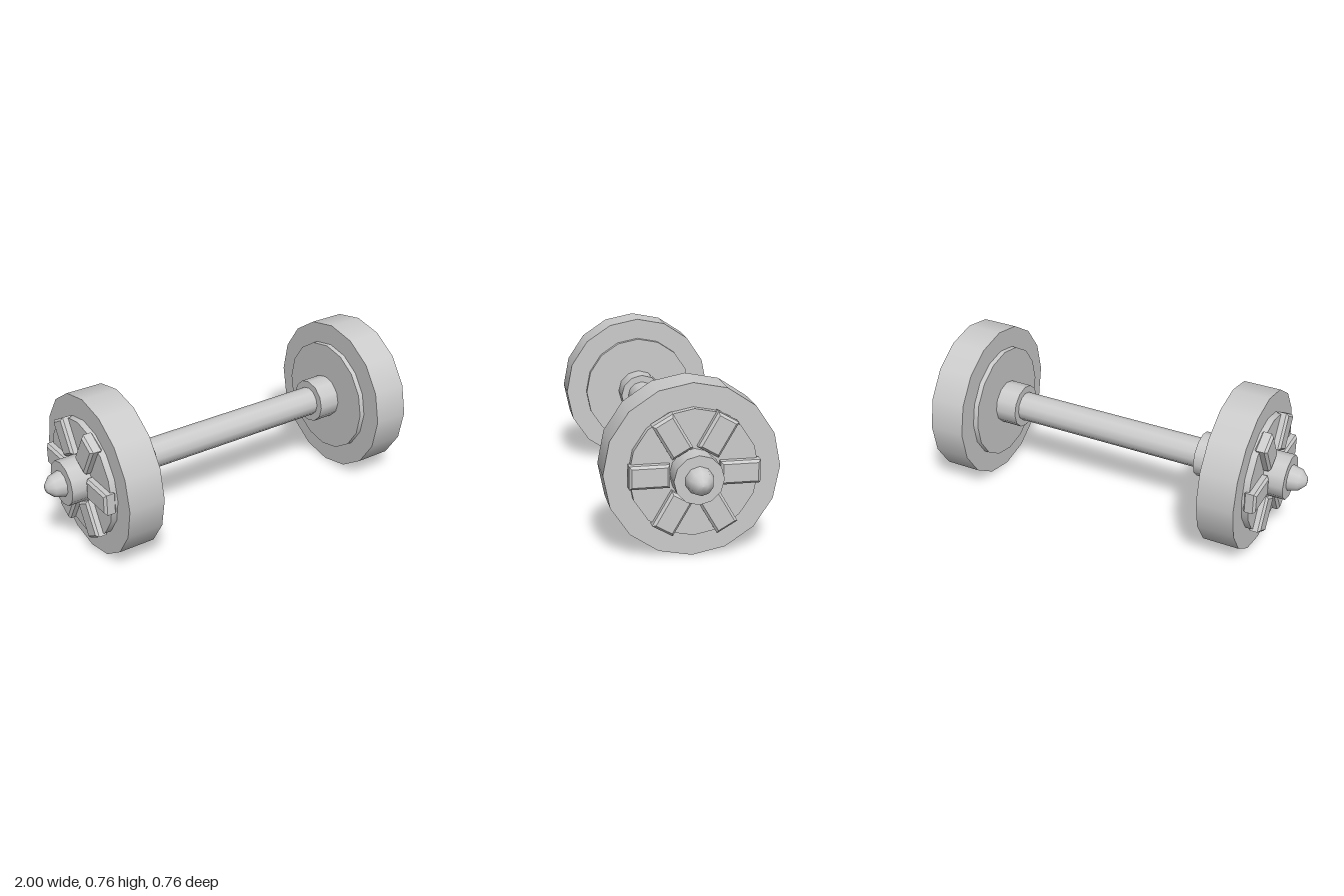
import * as THREE from 'three';

const AXIS_Y = 0.382;
const material = new THREE.MeshStandardMaterial({ color: 0xcccccc });

function part(name, geometry) {
  const mesh = new THREE.Mesh(geometry, material);
  mesh.name = name;
  return mesh;
}

// Solid round part lying along x, from x0 to x1
function roundPart(name, radius, x0, x1, sides) {
  const geometry = new THREE.CylinderGeometry(radius, radius, x1 - x0, sides);
  geometry.rotateZ(-Math.PI / 2).translate((x0 + x1) / 2, 0, 0);
  return part(name, geometry);
}

// Chamfered block pointing outwards along y, its face towards +x
function lugGeometry() {
  const bevel = 0.011, width = 0.102, inner = 0.108, outer = 0.28;
  const w = width / 2 - bevel;
  const shape = new THREE.Shape([
    new THREE.Vector2(-w, inner + bevel),
    new THREE.Vector2(w, inner + bevel),
    new THREE.Vector2(w, outer - bevel),
    new THREE.Vector2(-w, outer - bevel),
  ]);
  const geometry = new THREE.ExtrudeGeometry(shape, {
    depth: 0.038, bevelEnabled: true, bevelSize: bevel, bevelThickness: bevel, bevelSegments: 1,
  });
  return geometry.rotateY(Math.PI / 2).translate(0.806, 0, 0);
}

function createWheel() {
  const wheel = new THREE.Group();
  wheel.add(
    roundPart('tyre', 0.382, 0.615, 0.79, 16),
    roundPart('wheelDisc', 0.279, 0.59, 0.82, 16),
    roundPart('hub', 0.107, 0.482, 0.92, 12),
  );

  // Rounded axle end
  const profile = [[0.061, 0.91], [0.061, 0.925], [0.05, 0.969], [0.021, 0.997], [0, 1]]
    .map(([r, x]) => new THREE.Vector2(r, x));
  const cap = new THREE.LatheGeometry(profile, 10);
  cap.rotateZ(-Math.PI / 2).rotateX(Math.PI / 2);
  wheel.add(part('axleCap', cap));

  // Ring of six lugs, two of them level with the axle
  const geometry = lugGeometry();
  for (let i = 0; i < 6; i++) {
    const lug = part('lug', geometry);
    lug.rotation.x = Math.PI / 2 + (i * Math.PI) / 3;
    wheel.add(lug);
  }
  return wheel;
}

export function createModel() {
  const model = new THREE.Group();
  model.name = 'wheelset';
  model.add(roundPart('axle', 0.072, -0.5, 0.5, 12));

  const leftWheel = createWheel();
  leftWheel.name = 'leftWheel';
  const rightWheel = createWheel();
  rightWheel.name = 'rightWheel';
  rightWheel.rotation.y = Math.PI;
  model.add(leftWheel, rightWheel);

  for (const child of model.children) child.position.y = AXIS_Y;
  return model;
}
